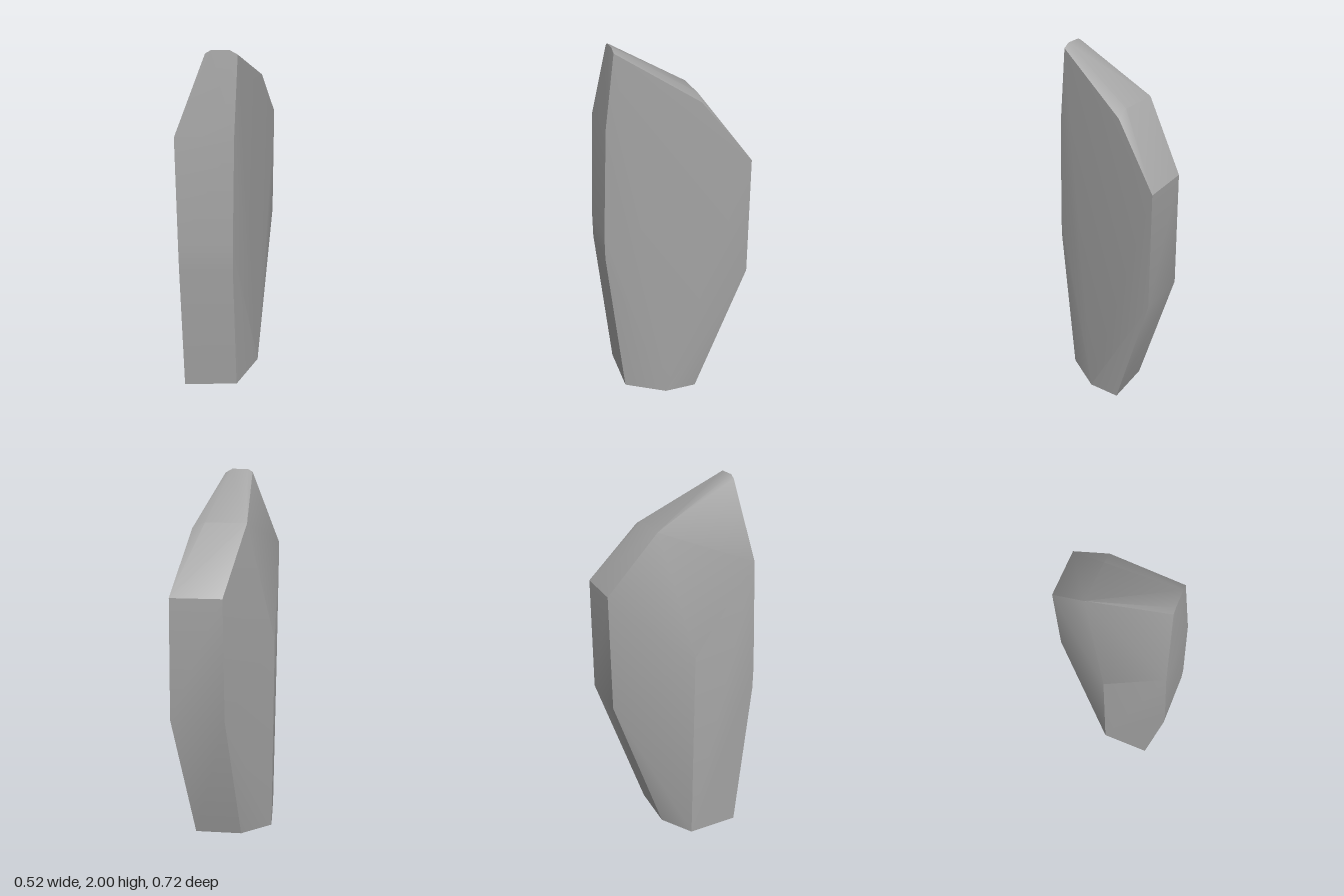
import * as THREE from 'three';
import { ConvexGeometry } from 'three/addons/geometries/ConvexGeometry.js';
import { toCreasedNormals } from 'three/addons/utils/BufferGeometryUtils.js';

export function createModel() {
  const group = new THREE.Group();
  group.name = 'standingStone';
  const stone = new THREE.MeshStandardMaterial({ color: 0xa3a3a3 });
  stone.name = 'stone grey';

  // Corner columns of the stone, each listed from the ground up
  const columns = {
    frontRight: [[-0.26, 0, 0.28], [-0.26, 0.87, 0.36], [-0.26, 1.0, 0.36], [-0.26, 1.6, 0.33]],
    frontLeft: [[0.04, 0, 0.28], [0.015, 0.87, 0.36], [0.015, 1.0, 0.36], [0.02, 1.6, 0.33], [0.035, 1.98, 0.28]],
    middleLeft: [[0.17, 0, 0.07], [0.165, 1.74, -0.12]],
    backLeft: [[0.17, 0, -0.11], [0.26, 0.8, -0.36], [0.25, 1.44, -0.36]],
    backRight: [[-0.09, 0, -0.11], [-0.02, 0.8, -0.36], [-0.01, 1.44, -0.36]],
    middleRight: [[-0.26, 0, 0], [-0.255, 1.13, 0.01]],
    // Sloping crown, from the peak toward the back
    crown: [[-0.11, 1.985, 0.28], [-0.085, 2, 0.28], [0.0, 2, 0.28], [-0.11, 1.77, -0.13], [0.1, 1.77, -0.12]],
  };
  const points = Object.values(columns).flat().map((p) => new THREE.Vector3(...p));

  // Faceted body with soft shading across shallow edges
  const body = new THREE.Mesh(toCreasedNormals(new ConvexGeometry(points), 0.5), stone);
  body.name = 'stoneBody';
  group.add(body);
  return group;
}
